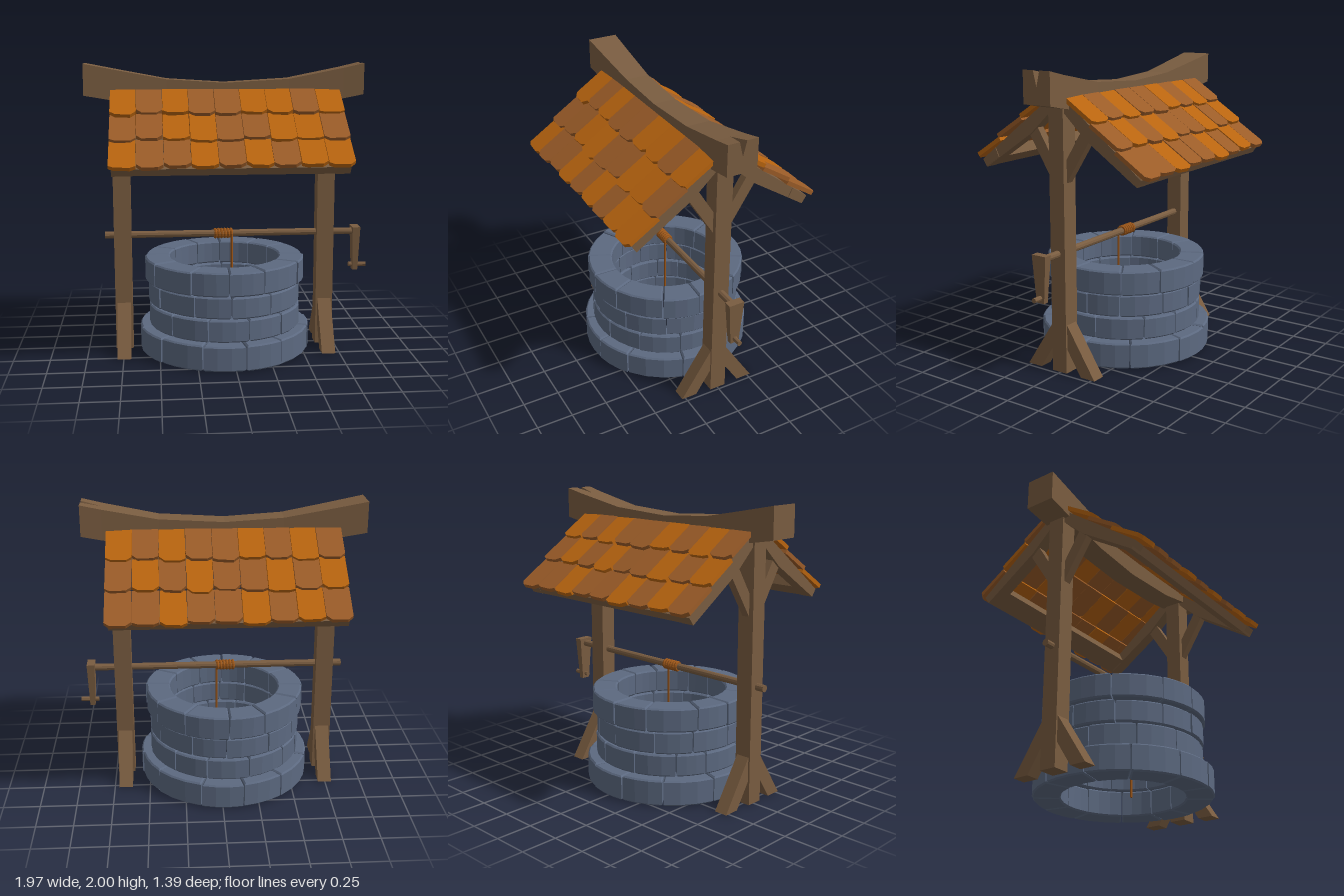
import * as THREE from 'three';

const mat = (name, color) => new THREE.MeshStandardMaterial({ name, color, flatShading: true });

export function createModel() {
  const wood = mat('wood', 0x795c40);
  const stone = mat('stone', 0x5c6980);
  const orange = mat('orangeTile', 0xb8640f);
  const brown = mat('brownTile', 0x9b5c28);
  const ropeMat = mat('rope', 0x9a5518);
  const root = new THREE.Group();
  root.name = 'well';
  const CX = -0.037; // middle of the posts, roof and stone rings

  let seed = 7;
  const jitter = (a) => {
    seed = (seed * 16807) % 2147483647;
    return (seed / 2147483647 - 0.5) * 2 * a;
  };
  const add = (name, geo, material, parent = root) => {
    const m = new THREE.Mesh(geo, material);
    m.name = name;
    parent.add(m);
    return m;
  };
  const toShape = (pts) => new THREE.Shape(pts.map(([a, b]) => new THREE.Vector2(a, b)));
  // Plank from a (z, y) outline, centred on x; back = turned to face -z
  const plank = (name, pts, width, x, back) => {
    const g = new THREE.ExtrudeGeometry(toShape(pts), { depth: width, bevelEnabled: false });
    g.rotateY(-Math.PI / 2).translate(width / 2, 0, 0);
    if (back) g.rotateY(Math.PI);
    g.translate(x, 0, 0);
    return add(name, g, wood);
  };
  const rod = (name, x0, x1, y, r, sides) => {
    const g = new THREE.CylinderGeometry(r, r, x1 - x0, sides);
    g.rotateZ(Math.PI / 2).translate((x0 + x1) / 2, y, 0);
    return add(name, g, wood);
  };

  // Stone rings: [y0, y1, outer radius, inner radius, starting angle in degrees]
  const rings = [
    [0.005, 0.18, 0.595, 0.41, 10],
    [0.185, 0.338, 0.53, 0.4, 14],
    [0.346, 0.496, 0.53, 0.4, 1],
    [0.503, 0.665, 0.557, 0.385, -1],
  ];
  rings.forEach(([y0, y1, R, r, start], k) => {
    const group = new THREE.Group();
    group.name = 'stoneRing' + (k + 1);
    group.position.x = CX;
    root.add(group);
    const n = 12, step = (Math.PI * 2) / n, b = 0.01;
    const cuts = [];
    for (let i = 0; i < n; i++) cuts.push((start - 90) * Math.PI / 180 + i * step + (i ? jitter(0.08) : 0));
    cuts.push(cuts[0] + Math.PI * 2);
    for (let i = 0; i < n; i++) {
      const a0 = cuts[i] + 0.007, a1 = cuts[i + 1] - 0.007, ro = R + jitter(0.006);
      const pts = [];
      for (let s = 0; s <= 3; s++) {
        const a = a0 + (a1 - a0) * s / 3;
        pts.push([Math.cos(a) * ro, Math.sin(a) * ro]);
      }
      for (let s = 3; s >= 0; s--) {
        const a = a0 + (a1 - a0) * s / 3;
        pts.push([Math.cos(a) * r, Math.sin(a) * r]);
      }
      const g = new THREE.ExtrudeGeometry(toShape(pts), {
        depth: y1 - y0 - 2 * b + jitter(0.003), bevelEnabled: true,
        bevelSize: b, bevelOffset: -b, bevelThickness: b, bevelSegments: 1,
      });
      g.rotateX(-Math.PI / 2).translate(0, y0 + b, 0);
      add('stoneBlock', g, stone, group);
    }
  });

  // Posts with their foot braces, head braces and rafters
  for (const x of [CX - 0.71, CX + 0.71]) {
    add('post', new THREE.BoxGeometry(0.12, 1.77, 0.115).translate(x, 0.89, 0), wood);
    for (const back of [false, true]) {
      plank('footBrace', [[0.05, 0.18], [0.165, 0], [0.275, 0], [0.05, 0.35]], 0.095, x, back);
      plank('headBrace', [[0.05, 1.27], [0.24, 1.57], [0.18, 1.63], [0.05, 1.42]], 0.055, x, back);
      plank('rafter', [[0.04, 1.74], [0.217, 1.575], [0.6, 1.32], [0.635, 1.37], [0.09, 1.79], [0.04, 1.8]], 0.09, x, back);
    }
  }
  for (const back of [false, true])
    plank('eaveBoard', [[0.49, 1.395], [0.602, 1.322], [0.632, 1.368], [0.52, 1.458]], 1.51, CX + 0.005, back);

  // Sagging ridge beam: sections [x, top, bottom, half width, crack depth]
  const sections = [
    [-0.985, 2.0, 1.79, 0.105, 0], [-0.71, 1.947, 1.742, 0.094, 0], [-0.43, 1.895, 1.7, 0.083, 0],
    [-0.037, 1.87, 1.675, 0.08, 0], [0.4, 1.895, 1.7, 0.083, 0],
    [0.77, 1.968, 1.762, 0.098, 0], [0.91, 2.0, 1.79, 0.105, 0.1],
  ];
  const pos = [], idx = [], N = 7;
  sections.forEach(([x, t, b, w, d]) => {
    const c = d * 0.25;
    for (const [z, y] of [[-w, b], [w, b], [w, t], [c, t], [0, t - d], [-c, t], [-w, t]]) pos.push(x, y, z);
  });
  for (let i = 0; i < sections.length - 1; i++)
    for (let j = 0; j < N; j++) {
      const a = i * N + j, b = i * N + (j + 1) % N;
      idx.push(a, a + N, b, b, a + N, b + N);
    }
  const last = (sections.length - 1) * N;
  for (let k = 1; k < N - 1; k++) {
    const p = (4 + k) % N, q = (5 + k) % N;
    idx.push(4, p, q, last + 4, last + q, last + p);
  }
  const beam = new THREE.BufferGeometry();
  beam.setAttribute('position', new THREE.Float32BufferAttribute(pos, 3));
  beam.setIndex(idx);
  beam.computeVertexNormals();
  add('ridgeBeam', beam, wood);

  // Roof tiles: rows from ridge to eave, O = orange, B = brown
  const patterns = {
    frontRoof: ['OBOBBOOBO', 'BBOOBBOOB', 'OBBOBOBOO'],
    backRoof: ['OBOBBOBOB', 'BOBOBBOBO', 'BBOBBOBOB'],
  };
  const W = 0.1728;
  for (const [name, rows] of Object.entries(patterns)) {
    const side = new THREE.Group();
    side.name = name;
    side.position.x = CX + 0.005;
    if (name === 'backRoof') side.rotation.y = Math.PI;
    const slope = new THREE.Group();
    slope.name = 'roofSlope';
    slope.position.set(0, 1.795, 0.09);
    slope.rotation.x = -52 * Math.PI / 180;
    side.add(slope);
    root.add(side);
    rows.forEach((row, r) => [...row].forEach((c, i) => {
      const h = W / 2 - 0.0015, lo = jitter(0.012), L = 0.26;
      const e = 0.022 + jitter(0.012), f = 0.022 + jitter(0.012);
      const g = new THREE.ExtrudeGeometry(toShape([
        [-h, lo + e], [-h + 0.035, lo], [h - 0.035, lo + jitter(0.006)], [h, lo + f], [h, L], [-h, L],
      ]), { depth: 0.028, bevelEnabled: false });
      const t = add('roofTile', g, c === 'O' ? orange : brown, slope);
      t.position.set((i - 4) * W, -0.24 * (r + 1), 0.022 + jitter(0.003));
      t.rotation.x = -0.09;
      t.rotation.y = jitter(0.02);
    }));
  }

  // Winding axle with tapered crank arm and grip
  rod('axle', -0.87, 0.88, 0.815, 0.024, 10);
  const arm = new THREE.BoxGeometry(0.055, 0.315, 0.11);
  const p = arm.attributes.position;
  for (let i = 0; i < p.count; i++)
    if (p.getY(i) < 0) p.setXYZ(i, p.getX(i) * 0.65, p.getY(i), p.getZ(i) * 0.55);
  add('crankArm', arm.translate(0.898, 0.693, 0), wood);
  rod('crankGrip', 0.855, 0.98, 0.57, 0.017, 8);

  // Rope wound on the axle and hanging into the well
  for (let i = 0; i < 6; i++) {
    const g = new THREE.TorusGeometry(0.027, 0.011, 6, 14);
    g.rotateY(Math.PI / 2 + 0.12).translate(-0.1 + i * 0.022, 0.815, 0);
    add('ropeCoil', g, ropeMat);
  }
  add('hangingRope', new THREE.CylinderGeometry(0.008, 0.008, 0.79, 6).translate(0.014, 0.42, 0.027), ropeMat);

  return root;
}
